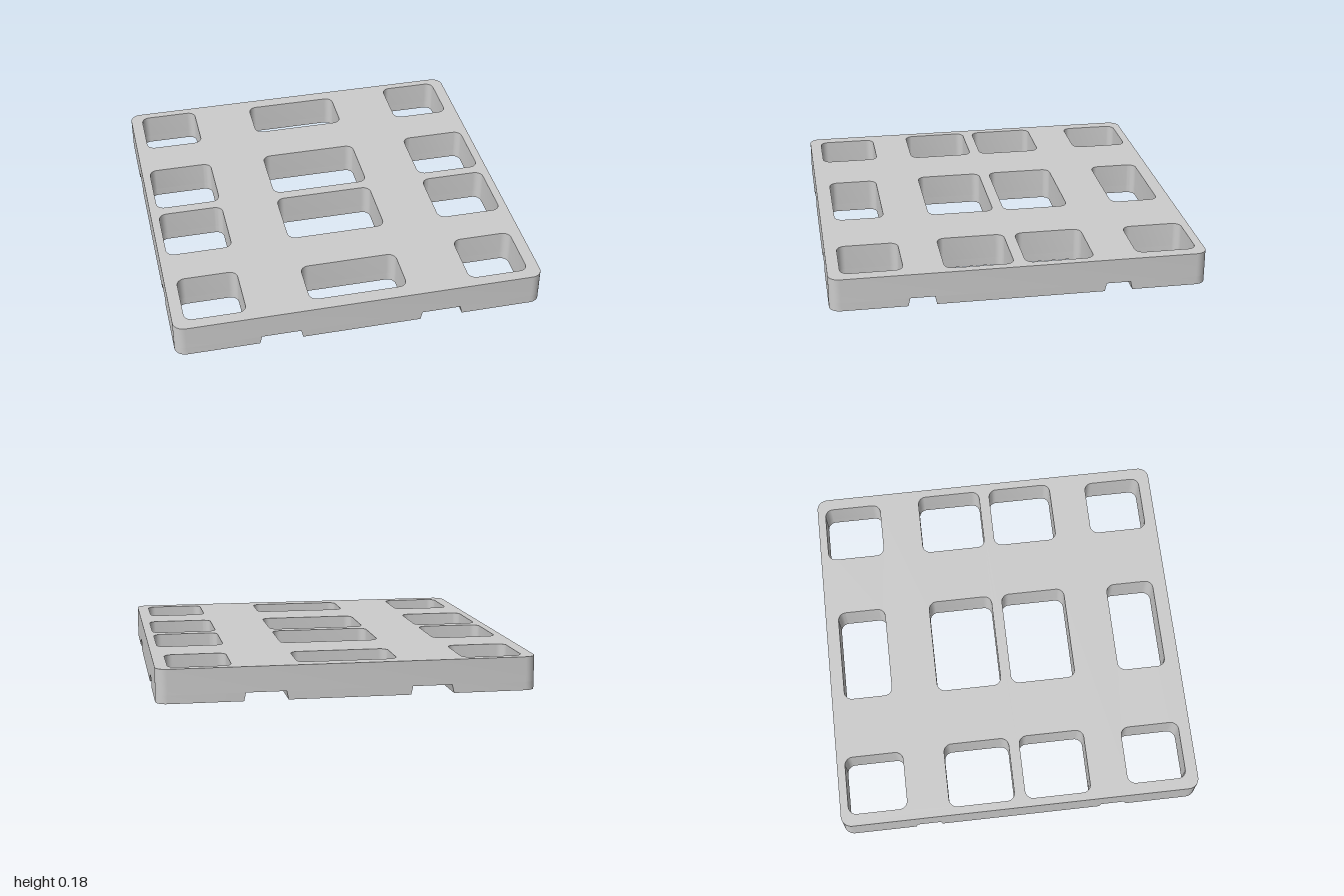
import * as THREE from 'three';
import { mergeGeometries, toCreasedNormals } from 'three/addons/utils/BufferGeometryUtils.js';

const TOP = 0.18, CHANNEL = 0.045, FLARE = 0.01, CORNER = 0.06;

// Bands of feet along x and z; the gaps between them are the channels
const bandsX = [[-1, -0.552], [-0.322, 0.322], [0.552, 1]];
const bandsZ = [[-1, -0.594], [-0.445, 0.445], [0.594, 1]];

// Through-openings: [x0, z0, x1, z1, radius]
const holes = [];
for (const [z0, z1] of [[-0.955, -0.628], [0.608, 0.935]]) {
  holes.push([-0.934, z0, -0.607, z1, 0.045], [0.607, z0, 0.934, z1, 0.045]);
}
for (const [z0, z1] of [[-0.927, -0.655], [0.648, 0.92]]) holes.push([-0.265, z0, 0.265, z1, 0.045]);
for (const [z0, z1] of [[-0.396, -0.03], [0.03, 0.396]]) {
  holes.push([-0.955, z0, -0.593, z1, 0.045], [-0.274, z0, 0.274, z1, 0.045], [0.593, z0, 0.955, z1, 0.045]);
}

// Rectangle outline in the ground plane; radiusAt(x, z) gives each corner's radius
function outline(x0, z0, x1, z1, radiusAt) {
  const pts = [];
  [[x1, z0, -1, 1], [x0, z0, 1, 1], [x0, z1, 1, -1], [x1, z1, -1, -1]].forEach(([x, z, sx, sz], i) => {
    const r = radiusAt(x, z), n = r ? 8 : 0;
    for (let k = 0; k <= n; k++) {
      const a = (i + (n ? k / n : 0)) * Math.PI / 2;
      pts.push(r
        ? new THREE.Vector2(x + sx * r + r * Math.cos(a), -(z + sz * r) + r * Math.sin(a))
        : new THREE.Vector2(x, -z));
    }
  });
  return pts;
}

// Upright block pierced by the openings inside it, left open at height openY
function block(x0, z0, x1, z1, y0, y1, openY) {
  const outer = (x, z) => (Math.abs(x) === 1 && Math.abs(z) === 1 ? CORNER : 0);
  const shape = new THREE.Shape(outline(x0, z0, x1, z1, outer));
  for (const [a, b, c, d, r] of holes) {
    if (a > x0 && c < x1 && b > z0 && d < z1) shape.holes.push(new THREE.Path(outline(a, b, c, d, () => r)));
  }
  const geo = new THREE.ExtrudeGeometry(shape, { depth: y1 - y0, bevelEnabled: false });
  geo.rotateX(-Math.PI / 2).translate(0, y0, 0);
  const p = geo.attributes.position, kept = [];
  for (let i = 0; i < p.count; i += 3) {
    if ([0, 1, 2].every(k => Math.abs(p.getY(i + k) - openY) < 1e-5)) continue;
    for (let k = 0; k < 3; k++) kept.push(p.getX(i + k), p.getY(i + k), p.getZ(i + k));
  }
  const out = new THREE.BufferGeometry();
  out.setAttribute('position', new THREE.Float32BufferAttribute(kept, 3));
  return out;
}

// Foot whose channel walls spread outwards towards the slab
function foot([x0, x1], [z0, z1]) {
  const geo = block(x0, z0, x1, z1, 0, CHANNEL, CHANNEL);
  const p = geo.attributes.position;
  const flare = (v, lo, hi) => {
    if (lo > -1 && Math.abs(v - lo) < 1e-4) return v - FLARE;
    if (hi < 1 && Math.abs(v - hi) < 1e-4) return v + FLARE;
    return v;
  };
  for (let i = 0; i < p.count; i++) {
    if (p.getY(i) > CHANNEL / 2) {
      p.setX(i, flare(p.getX(i), x0, x1));
      p.setZ(i, flare(p.getZ(i), z0, z1));
    }
  }
  return geo;
}

// Downward-facing rectangle at the channel roof
function roof(x0, x1, z0, z1) {
  return new THREE.PlaneGeometry(x1 - x0, z1 - z0)
    .rotateX(Math.PI / 2)
    .translate((x0 + x1) / 2, CHANNEL, (z0 + z1) / 2);
}

export function createModel() {
  const group = new THREE.Group();
  const material = new THREE.MeshStandardMaterial({ color: 0xcccccc });
  const add = (name, geo) => {
    const mesh = new THREE.Mesh(geo, material);
    mesh.name = name;
    group.add(mesh);
  };

  // Pierced deck
  add('deck', toCreasedNormals(block(-1, -1, 1, 1, CHANNEL, TOP, CHANNEL), 0.6));

  // Three by three feet
  for (const bx of bandsX) for (const bz of bandsZ) add('foot', toCreasedNormals(foot(bx, bz), 0.6));

  // Roofs of the crossing channels
  const gaps = bands => [0, 1].map(i => [bands[i][1] + FLARE, bands[i + 1][0] - FLARE]);
  const gx = gaps(bandsX), gz = gaps(bandsZ);
  const spans = [[-1, gx[0][0]], [gx[0][1], gx[1][0]], [gx[1][1], 1]];
  const roofs = gx.map(([a, b]) => roof(a, b, -1, 1));
  for (const [c, d] of gz) for (const [a, b] of spans) roofs.push(roof(a, b, c, d));
  add('channelRoofs', mergeGeometries(roofs));

  return group;
}
